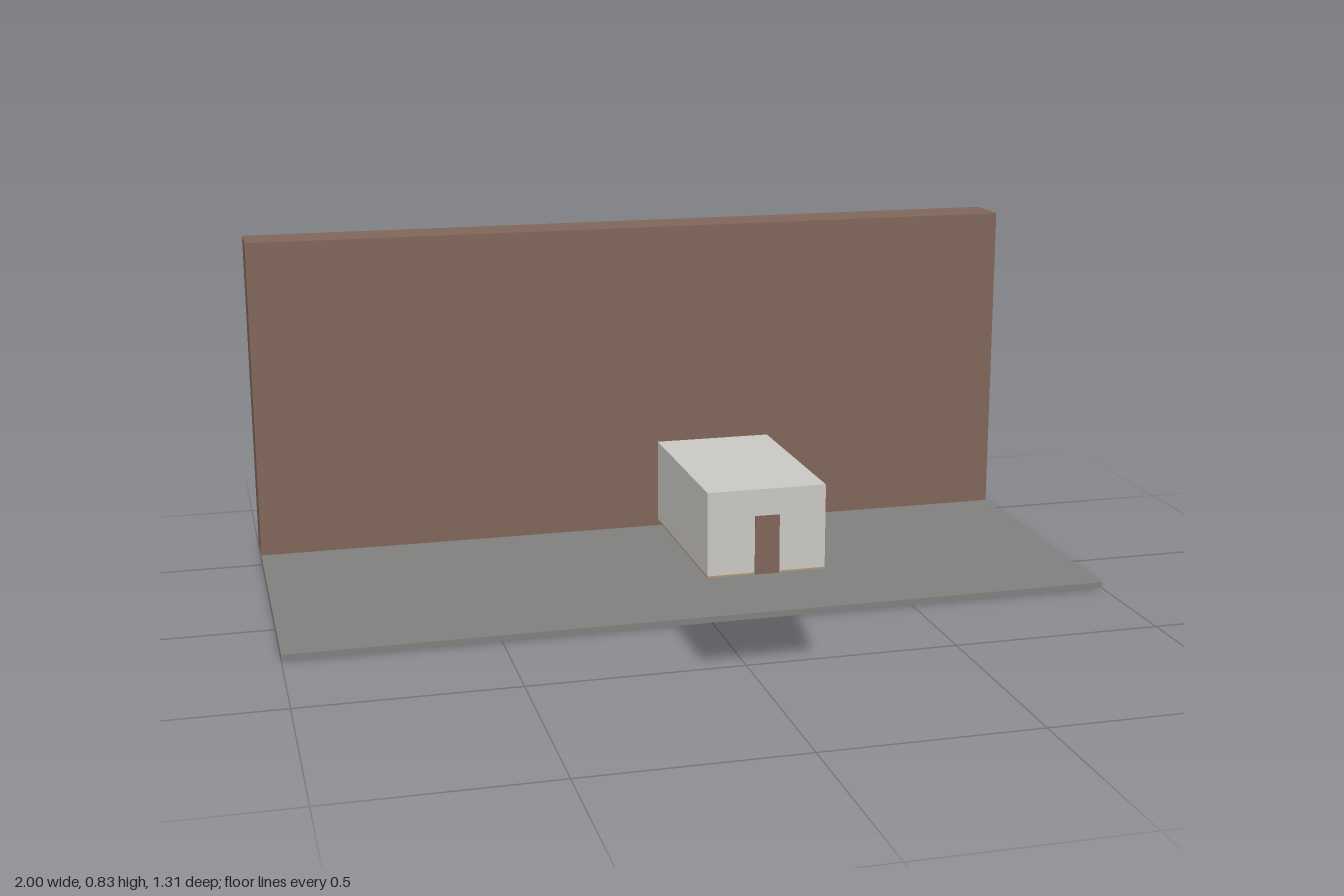
import * as THREE from 'three';

const paint = (name, color) => {
  const m = new THREE.MeshStandardMaterial({ color });
  m.name = name;
  return m;
};

// Box given by its minimum and maximum corners
function block(name, material, [x0, y0, z0], [x1, y1, z1]) {
  const geometry = new THREE.BoxGeometry(x1 - x0, y1 - y0, z1 - z0);
  geometry.translate((x0 + x1) / 2, (y0 + y1) / 2, (z0 + z1) / 2);
  const mesh = new THREE.Mesh(geometry, material);
  mesh.name = name;
  return mesh;
}

export function createModel() {
  const brown = paint('wall brown', 0x80665a);
  const grey = paint('ground grey', 0x80807e);
  const pale = paint('plaster pale grey', 0xcac8c4);
  const tan = paint('floor tan', 0xb09670);

  const model = new THREE.Group();
  model.name = 'wallAndHut';

  // Ground slab and the tall wall behind it
  model.add(
    block('groundSlab', grey, [-1, 0, -0.532], [1, 0.015, 0.212]),
    block('backWall', brown, [-1, 0.015, -0.655], [1, 0.826, -0.532])
  );

  // Small raised hut with a door and a thin floor
  const hut = new THREE.Group();
  hut.name = 'hut';
  hut.add(
    block('hutBody', pale, [-0.132, 0.269, 0.219], [0.128, 0.452, 0.653]),
    block('hutFloor', tan, [-0.132, 0.265, 0.219], [0.128, 0.269, 0.653]),
    block('hutDoor', brown, [-0.028, 0.265, 0.653], [0.026, 0.394, 0.655])
  );
  model.add(hut);

  return model;
}
